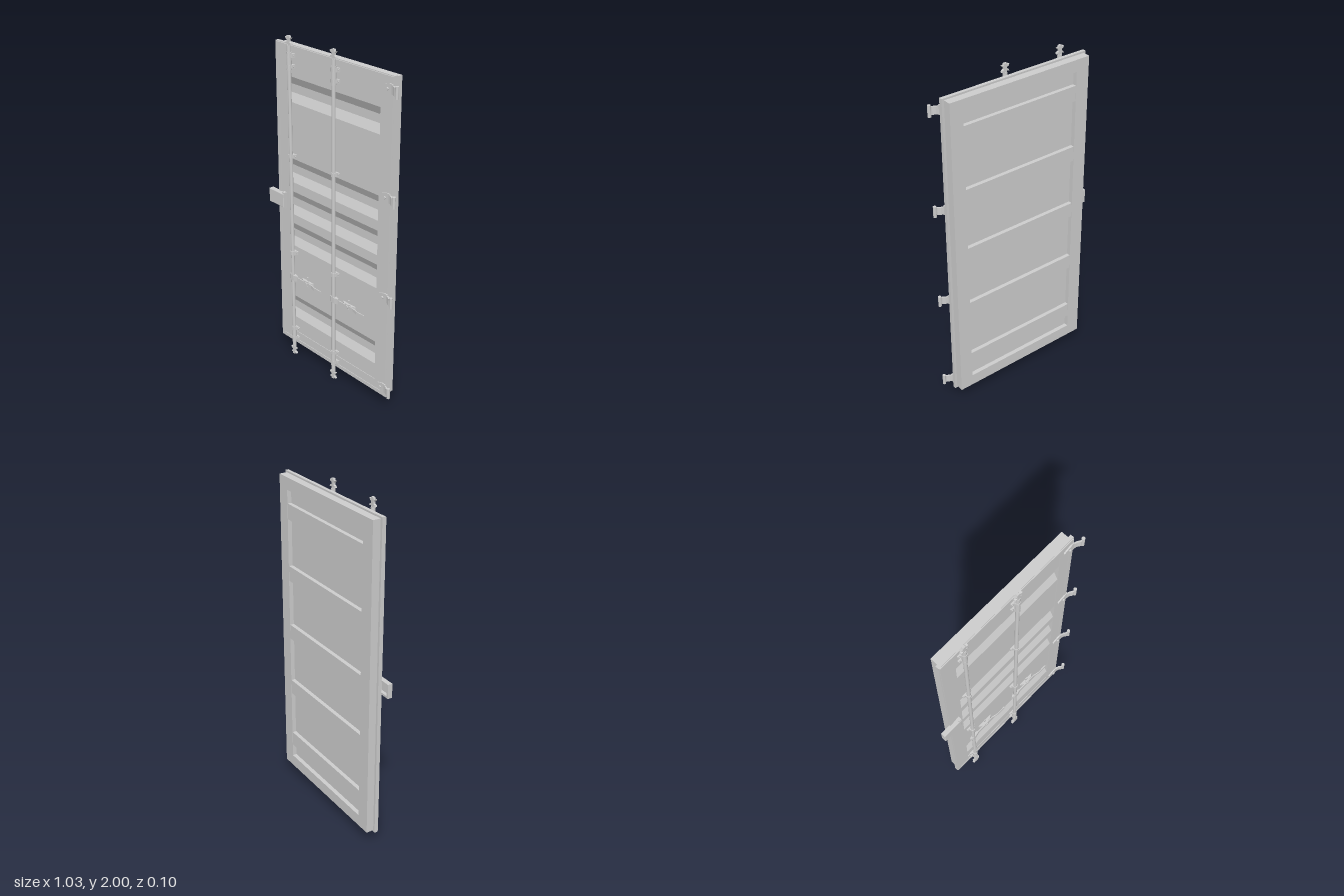
import * as THREE from 'three';

const mat = new THREE.MeshStandardMaterial({ color: 0xcccccc, side: THREE.DoubleSide });

function add(parent, name, geo, x = 0, y = 0, z = 0) {
  const m = new THREE.Mesh(geo, mat);
  m.name = name;
  m.position.set(x, y, z);
  parent.add(m);
  return m;
}
const box = (w, h, d) => new THREE.BoxGeometry(w, h, d);
const cyl = (r, h, n = 16) => new THREE.CylinderGeometry(r, r, h, n);
const poly = pts => new THREE.Shape(pts.map(p => new THREE.Vector2(p[0], p[1])));
const rect = (x0, x1, y0, y1) => poly([[x0, y0], [x1, y0], [x1, y1], [x0, y1]]);
const extrude = (shape, depth) => new THREE.ExtrudeGeometry(shape, { depth, bevelEnabled: false });

// Rectangular ring from z0 to z1; outer and inner are [x0, x1, y0, y1]
function ring(outer, inner, z0, z1) {
  const s = rect(...outer);
  s.holes.push(rect(...inner));
  return extrude(s, z1 - z0).translate(0, 0, z0);
}
// Profile in (x, z) seen from above, extruded to a height centred on y = 0
function planPlate(pts, height) {
  return extrude(poly(pts.map(([x, z]) => [x, -z])), height).rotateX(-Math.PI / 2).translate(0, -height / 2, 0);
}

// Door leaf: frame, sealing flange and pressed panel
function makeLeaf() {
  const g = new THREE.Group();
  g.name = 'doorLeaf';
  const opening = [-0.36, 0.37, 0.15, 1.865];
  add(g, 'frame', ring([-0.443, 0.449, 0.08, 1.935], opening, -0.053, 0.015));
  add(g, 'flange', ring([-0.457, 0.463, 0.07, 1.945], [-0.442, 0.448, 0.081, 1.934], -0.008, 0.012));
  add(g, 'seal', ring([-0.453, 0.459, 0.074, 1.941], [-0.43, 0.436, 0.097, 1.918], 0.011, 0.018));

  // Section of the panel: sloped recesses on the front, flat bars on the back
  const front = 0.012, deep = -0.012, backPanel = -0.028, backBar = -0.051;
  const pts = [[front, 0.15]];
  for (const y of [0.25, 0.735, 0.937, 1.14, 1.62]) {
    pts.push([front, y], [deep, y + 0.048], [deep, y + 0.097], [front, y + 0.145]);
  }
  pts.push([front, 1.865], [backPanel, 1.865]);
  for (let i = 2; i >= -2; i--) {
    const c = 1.0075 + i * 0.367;
    pts.push([backPanel, c + 0.045], [backBar, c + 0.045], [backBar, c - 0.045], [backPanel, c - 0.045]);
  }
  pts.push([backPanel, 0.15]);
  const section = poly(pts.map(([z, y]) => [-z, y]));
  add(g, 'panel', extrude(section, 0.73).rotateY(Math.PI / 2), -0.36, 0, 0);
  return g;
}

// Cam at the end of a rod, pointing up from y = 0
function makeCam() {
  const g = new THREE.Group();
  g.name = 'rodCam';
  const half = [[0.009, 0], [0.009, 0.012], [0.024, 0.008], [0.02, 0.018], [0.009, 0.022],
    [0.009, 0.034], [0.017, 0.036], [0.024, 0.047], [0.012, 0.045], [0.008, 0.055]];
  const all = half.concat(half.slice().reverse().map(([x, y]) => [-x, y]));
  add(g, 'camPlate', extrude(poly(all), 0.014), 0, 0, -0.007);
  add(g, 'camCollar', cyl(0.012, 0.04), 0, -0.02, 0);
  return g;
}

// Guide that clamps the rod to the door
function makeGuide(height) {
  const g = new THREE.Group();
  g.name = 'rodGuide';
  const saddle = [[-0.03, -0.02], [0.03, -0.02], [0.03, -0.013], [0.017, -0.01], [0.012, 0.009],
    [0.006, 0.014], [-0.006, 0.014], [-0.012, 0.009], [-0.017, -0.01], [-0.03, -0.013]];
  add(g, 'guideSaddle', planPlate(saddle, height));
  for (const s of [-1, 1]) {
    add(g, 'guideBolt', cyl(0.005, 0.006, 8).rotateX(Math.PI / 2), s * 0.023, 0, -0.011);
  }
  return g;
}

// Lever handle with its retaining catch, origin on the rod axis
function makeHandle() {
  const g = new THREE.Group();
  g.name = 'handle';
  add(g, 'handleHub', planPlate([[-0.028, 0], [-0.008, -0.011], [0.012, -0.011], [0.04, -0.004],
    [0.04, 0.004], [0.012, 0.011], [-0.008, 0.011]], 0.034));
  add(g, 'handleLever', planPlate([[0.03, -0.003], [0.165, -0.003], [0.2, 0.005], [0.26, 0.005],
    [0.26, 0.01], [0.198, 0.01], [0.163, 0.002], [0.03, 0.002]], 0.018));
  add(g, 'catchBase', planPlate([[0.065, -0.02], [0.165, -0.02], [0.165, -0.017], [0.145, -0.004],
    [0.085, -0.004], [0.065, -0.017]], 0.022));
  add(g, 'catchPlate', box(0.014, 0.07, 0.005), 0.115, 0, -0.014);
  add(g, 'catchPivot', cyl(0.012, 0.014).rotateX(Math.PI / 2), 0.115, 0, 0);
  for (const s of [-1, 1]) add(g, 'catchLug', box(0.03, 0.007, 0.014), 0.115, s * 0.014, -0.004);
  return g;
}

// Full-height locking rod with cams, guides and handle
function makeLockRod(x) {
  const g = new THREE.Group();
  g.name = 'lockRod';
  g.position.set(x, 0, 0.036);
  add(g, 'rod', cyl(0.0105, 1.9), 0, 1, 0);
  for (const top of [false, true]) {
    const cam = makeCam();
    cam.position.y = top ? 1.945 : 0.055;
    if (!top) cam.rotation.z = Math.PI;
    g.add(cam);
  }
  for (const [y, h] of [[0.18, 0.02], [0.115, 0.022], [0.7, 0.022], [1.31, 0.022], [1.83, 0.02], [1.89, 0.022]]) {
    const guide = makeGuide(h);
    guide.position.y = y;
    g.add(guide);
  }
  // Sleeves between the paired guides
  for (const y of [0.145, 1.86]) add(g, 'rodSleeve', cyl(0.0145, 0.1), 0, y, 0);
  const handle = makeHandle();
  handle.position.y = 0.538;
  g.add(handle);
  return g;
}

// Hinge with tapered leaf, cranked arm and knuckle
function makeHinge(y) {
  const g = new THREE.Group();
  g.name = 'hinge';
  g.position.y = y;
  const leaf = poly([[0.39, -0.008], [0.4, -0.016], [0.44, -0.029], [0.463, -0.027], [0.463, 0.027],
    [0.44, 0.029], [0.4, 0.016], [0.39, 0.008]]);
  add(g, 'hingeLeaf', extrude(leaf, 0.008), 0, 0, 0.017);
  add(g, 'hingeArm', planPlate([[0.455, 0.017], [0.478, 0.023], [0.492, 0.033], [0.51, 0.035],
    [0.51, 0.044], [0.488, 0.041], [0.474, 0.031], [0.455, 0.026]], 0.044));
  add(g, 'hingeKnuckle', cyl(0.0095, 0.064), 0.506, 0, 0.039);
  add(g, 'hingeBolt', cyl(0.008, 0.01, 12).rotateX(Math.PI / 2), 0.428, 0, 0.028);
  return g;
}

// Lock cover: shallow box, open at the back, with a mounting flange
function makeLockBox() {
  const g = new THREE.Group();
  g.name = 'lockBox';
  add(g, 'lockBoxWalls', ring([-0.518, -0.4, 0.968, 1.052], [-0.506, -0.408, 0.98, 1.04], 0.011, 0.034));
  const cover = new THREE.ExtrudeGeometry(rect(-0.514, -0.392, 0.972, 1.048), {
    depth: 0.004, bevelThickness: 0.003, bevelSize: 0.004, bevelSegments: 2 });
  add(g, 'lockBoxCover', cover, 0, 0, 0.033);
  add(g, 'lockBoxMount', box(0.02, 0.1, 0.022), -0.396, 1.01, 0.025);
  return g;
}

export function createModel() {
  const model = new THREE.Group();
  model.name = 'cargoDoor';
  model.add(makeLeaf(), makeLockBox());
  for (const x of [-0.315, 0.045]) model.add(makeLockRod(x));
  for (const y of [0.132, 0.71, 1.297, 1.877]) model.add(makeHinge(y));
  return model;
}
